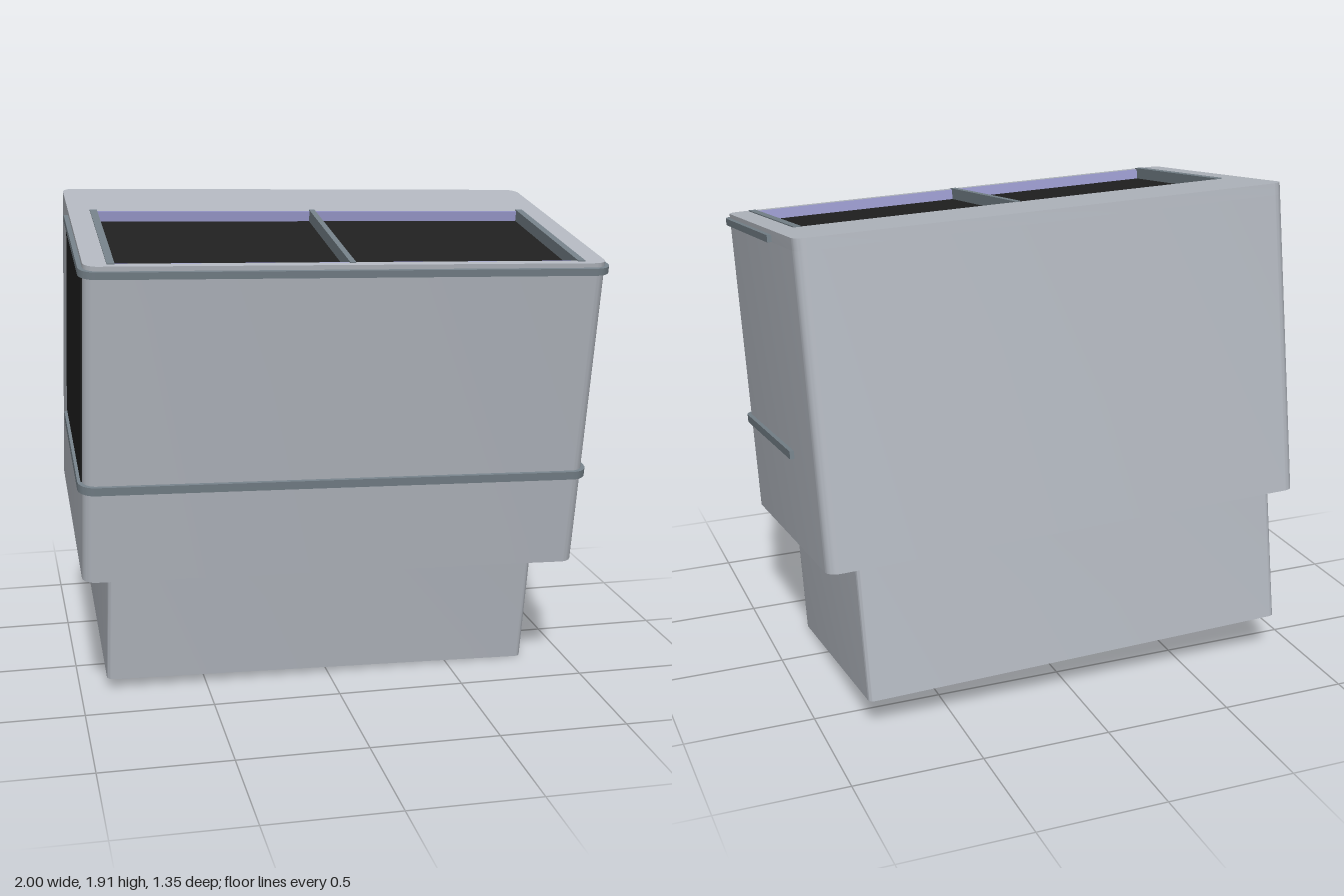
import * as THREE from 'three';
import { toCreasedNormals } from 'three/addons/utils/BufferGeometryUtils.js';

const mat = (name, color, side = THREE.FrontSide) => {
  const m = new THREE.MeshStandardMaterial({ color, side });
  m.name = name;
  return m;
};

// Rounded rectangle in plan; plan y runs towards the back (-z)
function plan(Kind, x0, x1, zBack, zFront, r) {
  const p = new Kind(), y0 = -zFront, y1 = -zBack, q = Math.PI / 2;
  p.moveTo(x0 + r, y0);
  p.lineTo(x1 - r, y0);
  if (r) p.absarc(x1 - r, y0 + r, r, -q, 0);
  p.lineTo(x1, y1 - r);
  if (r) p.absarc(x1 - r, y1 - r, r, 0, q);
  p.lineTo(x0 + r, y1);
  if (r) p.absarc(x0 + r, y1 - r, r, q, 2 * q);
  p.lineTo(x0, y0 + r);
  if (r) p.absarc(x0 + r, y0 + r, r, 2 * q, 3 * q);
  return p;
}

// U-shaped plan wrapping the front and both sides
function bandPlan(half, inner, zBack, zFront, t, r) {
  const s = new THREE.Shape(), q = Math.PI / 2, ri = r - t;
  s.moveTo(-half, -zBack);
  s.lineTo(-half, -zFront + r);
  s.absarc(-half + r, -zFront + r, r, 2 * q, 3 * q);
  s.lineTo(half - r, -zFront);
  s.absarc(half - r, -zFront + r, r, -q, 0);
  s.lineTo(half, -zBack);
  s.lineTo(inner, -zBack);
  s.lineTo(inner, -zFront + r);
  s.absarc(inner - ri, -zFront + r, ri, 0, -q, true);
  s.lineTo(-inner + ri, -zFront + t);
  s.absarc(-inner + ri, -zFront + r, ri, 3 * q, 2 * q, true);
  s.lineTo(-inner, -zBack);
  return s;
}

export function createModel() {
  const shell = mat('shell grey', 0xb4b9c1);
  const trim = mat('trim grey', 0x76828a);
  const black = mat('panel black', 0x202020);
  const lilac = mat('recess lilac', 0x9c9cd0);

  const model = new THREE.Group();
  model.name = 'tiltedCabinet';
  const tilt = new THREE.Group();
  tilt.name = 'cabinet';
  tilt.position.set(-0.02, 0.59, -0.05);
  tilt.rotation.set(0.1325, 0, -0.0253, 'ZXY');
  model.add(tilt);

  const add = (name, geo, material) => {
    const m = new THREE.Mesh(geo, material);
    m.name = name;
    tilt.add(m);
    return m;
  };
  const rise = (name, shape, y0, y1, material) => {
    const g = new THREE.ExtrudeGeometry(shape, { depth: y1 - y0, bevelEnabled: false, curveSegments: 6 });
    g.rotateX(-Math.PI / 2).translate(0, y0, 0);
    return add(name, toCreasedNormals(g, 0.6), material);
  };
  const box = (name, x0, x1, y0, y1, z0, z1, material) =>
    add(name, new THREE.BoxGeometry(x1 - x0, y1 - y0, z1 - z0)
      .translate((x0 + x1) / 2, (y0 + y1) / 2, (z0 + z1) / 2), material);

  const H = 1.23, floorY = H - 0.045, W = 0.97, D = 0.565;
  const open = { x: 0.885, back: -0.205, front: 0.53 };

  // Base and main body, with a shallow recess in the top
  rise('base', plan(THREE.Shape, -0.86, 0.86, -0.555, 0.393, 0.025), -0.52, 0, shell);
  rise('body', plan(THREE.Shape, -W, W, -D, D, 0.05), 0, floorY, shell);
  const rim = plan(THREE.Shape, -W, W, -D, D, 0.05);
  rim.holes.push(plan(THREE.Path, -open.x, open.x, open.back, open.front, 0));
  rise('topRim', rim, floorY, H, shell);

  // Recess lining and dark floor
  const lining = plan(THREE.Shape, -open.x, open.x, open.back, open.front, 0);
  lining.holes.push(plan(THREE.Path, -open.x + 0.006, open.x - 0.006, open.back + 0.006, open.front - 0.006, 0));
  rise('recessLining', lining, floorY, H - 0.001, lilac);
  box('recessFloor', -open.x, open.x, floorY, floorY + 0.004, open.back, open.front, black);

  // Side rails and centre divider of the recess
  for (const [name, x, w] of [['rightRail', -0.872, 0.028], ['divider', 0, 0.022], ['leftRail', 0.872, 0.028]])
    box(name, x - w / 2, x + w / 2, floorY, H + 0.004, open.back - 0.008, open.front + 0.01, trim);

  // Trim bands around the front and sides
  for (const [name, y0, y1] of [['lowerBand', 0.362, 0.394], ['upperBand', 1.186, 1.213]])
    rise(name, bandPlan(W + 0.017, W - 0.003, -0.21, D + 0.015, 0.02, 0.065), y0, y1, trim);

  // Dark panel on the right side only
  box('sidePanel', -W - 0.005, -W + 0.003, 0.385, 1.18, -0.24, 0.515, black);

  return model;
}
